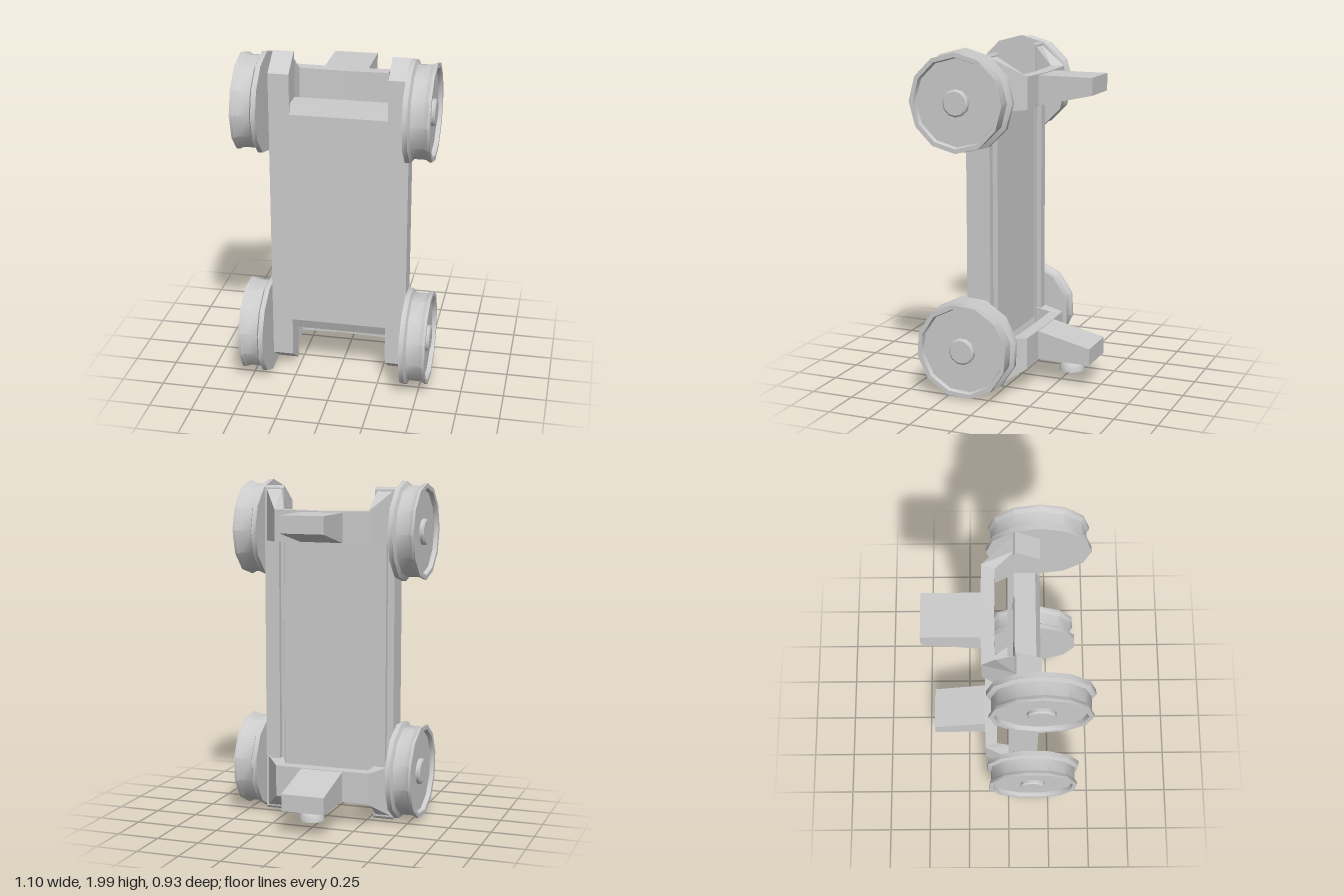
import * as THREE from 'three';
import { toCreasedNormals } from 'three/addons/utils/BufferGeometryUtils.js';

const MID = 1.985; // top and bottom ends mirror each other: y -> MID - y
const material = new THREE.MeshStandardMaterial({ color: 0xcccccc });
const flat = new THREE.MeshStandardMaterial({ color: 0xcccccc, flatShading: true });

// Solid skinned over convex cross-sections, wound outwards whichever way they run
function loft(name, sections) {
  const tris = [];
  const n = sections[0].length;
  for (let s = 0; s < sections.length - 1; s++) {
    const a = sections[s], b = sections[s + 1];
    for (let i = 0; i < n; i++) {
      const j = (i + 1) % n;
      tris.push([a[i], b[i], b[j]], [a[i], b[j], a[j]]);
    }
  }
  const first = sections[0], last = sections[sections.length - 1];
  for (let i = 1; i < n - 1; i++) {
    tris.push([first[0], first[i], first[i + 1]], [last[0], last[i + 1], last[i]]);
  }
  let volume = 0;
  const [a, b, c] = [0, 1, 2].map(() => new THREE.Vector3());
  for (const t of tris) volume += a.fromArray(t[0]).dot(b.fromArray(t[1]).cross(c.fromArray(t[2])));
  if (volume < 0) tris.forEach((t) => t.reverse());
  const geo = new THREE.BufferGeometry();
  geo.setAttribute('position', new THREE.Float32BufferAttribute(tris.flat(2), 3));
  geo.computeVertexNormals();
  const mesh = new THREE.Mesh(geo, flat);
  mesh.name = name;
  return mesh;
}

// Side profile of [z, y] points extended between two x positions
const slab = (name, x0, x1, profile) =>
  loft(name, [x0, x1].map((x) => profile.map(([z, y]) => [x, y, z])));

// Flanged wheel with recessed face and hub, running from x = 0.40 to 0.55
function wheel(side, y, z, phase) {
  const profile = [
    [0, 0], [0.29, 0], [0.29, 0.028], [0.265, 0.04], [0.265, 0.115], [0.278, 0.135],
    [0.278, 0.15], [0.252, 0.15], [0.245, 0.125], [0.077, 0.125], [0.077, 0.142],
    [0.067, 0.15], [0, 0.15],
  ].map(([r, h]) => new THREE.Vector2(r, h));
  const geo = toCreasedNormals(new THREE.LatheGeometry(profile, 12, phase), 0.6);
  const mesh = new THREE.Mesh(geo, material);
  mesh.name = 'wheel';
  mesh.rotation.z = -side * Math.PI / 2;
  mesh.position.set(side * 0.4, y, z);
  return mesh;
}

// Bent bumper bar and its tow block at one end of the body
function endFrame(flip) {
  const Y = (y) => (flip ? MID - y : y);
  const group = new THREE.Group();
  group.name = flip ? 'lowerEndFrame' : 'upperEndFrame';

  // outer x, outer z, inner x, inner z, bottom y, top y
  const stations = [
    [-0.39, 0.035, -0.295, 0.035, 1.645, 1.95],
    [-0.303, -0.142, -0.275, -0.07, 1.655, 1.84],
    [-0.017, -0.148, -0.017, -0.073, 1.655, 1.835],
    [0.27, -0.142, 0.242, -0.07, 1.655, 1.84],
    [0.39, 0.035, 0.295, 0.035, 1.645, 1.95],
  ];
  group.add(loft('bumperBar', stations.map(([ox, oz, ix, iz, b, t]) =>
    [[ox, Y(b), oz], [ox, Y(t), oz], [ix, Y(t), iz], [ix, Y(b), iz]])));

  group.add(slab('towBlock', -0.145, 0.11,
    [[-0.13, 1.655], [-0.13, 1.83], [-0.465, 1.83], [-0.465, 1.73]].map(([z, y]) => [z, Y(y)])));
  return group;
}

export function createModel() {
  const model = new THREE.Group();

  // Centre panel, bevelled at the front of both ends
  model.add(slab('centrePanel', -0.29, 0.29, [
    [0.035, 0.285], [0.15, 0.285], [0.174, 0.345],
    [0.174, 1.64], [0.15, 1.70], [0.035, 1.70],
  ]));

  for (const side of [-1, 1]) {
    // Side rail with sloping ends
    model.add(slab('sideRail', side * 0.28, side * 0.4, [
      [0.03, 0.03], [0.04, 0.015], [0.174, 0.11],
      [0.174, 1.875], [0.04, 1.97], [0.03, 1.955],
    ]));
    // Raised strip on the back of the rail
    model.add(slab('railStrip', side * 0.3, side * 0.36, [
      [0, 0.3], [0.032, 0.3], [0.032, 1.685], [0, 1.685],
    ]));
    model.add(wheel(side, 1.71, 0.172, 0));
    model.add(wheel(side, 0.295, 0.15, 0.2));
  }

  model.add(endFrame(false), endFrame(true));

  // Coupling stud under the lower tow block: a dome on a flat base
  const dome = [new THREE.Vector2(0, 0)];
  for (let i = 0; i <= 6; i++) {
    const a = (i / 6) * Math.PI / 2;
    dome.push(new THREE.Vector2(0.075 * Math.cos(a), 0.08 * Math.sin(a)));
  }
  const stud = new THREE.Mesh(toCreasedNormals(new THREE.LatheGeometry(dome, 16), 0.7), material);
  stud.name = 'couplingStud';
  stud.position.set(-0.017, 0.076, -0.312);
  model.add(stud);

  return model;
}
